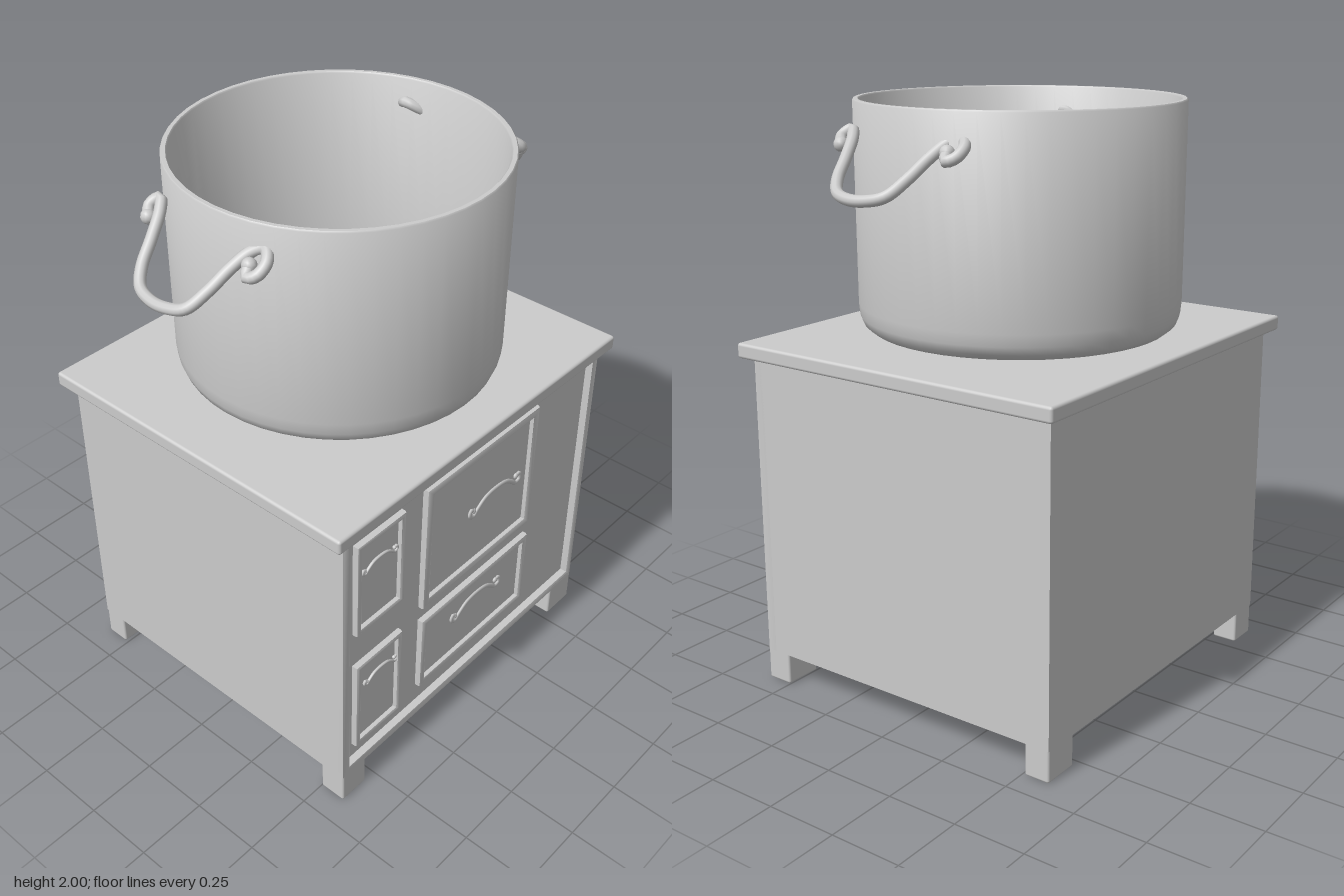
import * as THREE from 'three';
import { RoundedBoxGeometry } from 'three/addons/geometries/RoundedBoxGeometry.js';
import { toCreasedNormals } from 'three/addons/utils/BufferGeometryUtils.js';

const grey = new THREE.MeshStandardMaterial({ color: 0xcccccc });
const greyDouble = new THREE.MeshStandardMaterial({ color: 0xcccccc, side: THREE.DoubleSide });

function add(parent, name, geometry, x = 0, y = 0, z = 0, material = grey) {
  const mesh = new THREE.Mesh(geometry, material);
  mesh.name = name;
  mesh.position.set(x, y, z);
  parent.add(mesh);
  return mesh;
}

// Box given by its limits on each axis, with softened edges
function block(parent, name, [x0, x1], [y0, y1], [z0, z1], radius = 0) {
  const size = [x1 - x0, y1 - y0, z1 - z0];
  const geometry = radius ? new RoundedBoxGeometry(...size, 2, radius) : new THREE.BoxGeometry(...size);
  return add(parent, name, geometry, (x0 + x1) / 2, (y0 + y1) / 2, (z0 + z1) / 2);
}

function rectangle(path, x0, x1, y0, y1) {
  path.moveTo(x0, y0);
  path.lineTo(x1, y0);
  path.lineTo(x1, y1);
  path.lineTo(x0, y1);
  path.closePath();
  return path;
}

// Rectangular frame with a bevelled face, running from z0 to z1
function frame(parent, name, [x0, x1], [y0, y1], [l, r, b, t], z0, z1, bevel) {
  const shape = rectangle(new THREE.Shape(), x0 + bevel, x1 - bevel, y0 + bevel, y1 - bevel);
  shape.holes.push(rectangle(new THREE.Path(),
    x0 + l - bevel, x1 - r + bevel, y0 + b - bevel, y1 - t + bevel));
  const geometry = new THREE.ExtrudeGeometry(shape, {
    depth: z1 - z0 - bevel, bevelEnabled: true, bevelThickness: bevel, bevelSize: bevel, bevelSegments: 2,
  });
  return add(parent, name, toCreasedNormals(geometry, 0.6), 0, 0, z0);
}

// Rod along a smooth path, closed by a ball at each end
function rod(parent, name, points, radius, ball, segments) {
  const group = new THREE.Group();
  group.name = name;
  const curve = new THREE.CatmullRomCurve3(points);
  add(group, 'rod', new THREE.TubeGeometry(curve, segments, radius, 10));
  for (const end of [points[0], points[points.length - 1]]) {
    add(group, 'curlEnd', new THREE.SphereGeometry(ball, 12, 8), end.x, end.y, end.z);
  }
  parent.add(group);
  return group;
}

// Stove cabinet with a recessed front
function buildStove() {
  const stove = new THREE.Group();
  stove.name = 'stove';
  block(stove, 'cabinet', [-0.66, 0.665], [0.11, 1.18], [-0.6, 0.57]);
  frame(stove, 'frontRim', [-0.66, 0.665], [0.11, 1.18], [0.035, 0.03, 0.035, 0.045], 0.56, 0.597, 0.006);
  block(stove, 'topPlate', [-0.707, 0.711], [1.168, 1.22], [-0.635, 0.625], 0.01);

  for (const [x0, x1] of [[-0.66, -0.545], [0.53, 0.665]]) {
    for (const [z0, z1] of [[-0.6, -0.51], [0.5, 0.597]]) {
      block(stove, 'foot', [x0, x1], [0, 0.14], [z0, z1], 0.008);
    }
  }

  // Doors: x limits, y limits, border width, then handle centre, depth and scale
  const doors = [
    ['smallUpperDoor', [-0.587, -0.36], [0.722, 1.096], 0.022, [-0.473, 0.972, 0.582], 0.6],
    ['smallLowerDoor', [-0.587, -0.36], [0.205, 0.58], 0.022, [-0.458, 0.472, 0.582], 0.6],
    ['largeUpperDoor', [-0.256, 0.337], [0.598, 1.108], 0.033, [0.053, 0.93, 0.63], 1],
    ['largeLowerDoor', [-0.256, 0.337], [0.225, 0.538], 0.027, [0.053, 0.425, 0.584], 1],
  ];
  const arch = [
    [-0.118, -0.002], [-0.13, 0.008], [-0.137, -0.01], [-0.118, -0.024], [-0.096, -0.008], [-0.055, 0.017],
    [0, 0.024], [0.055, 0.016], [0.09, -0.006], [0.112, -0.024], [0.134, -0.016], [0.13, 0.008], [0.112, 0.005],
  ].map(([x, y]) => new THREE.Vector3(x, y, 0));

  for (const [name, xs, ys, border, centre, scale] of doors) {
    const door = new THREE.Group();
    door.name = name;
    frame(door, 'doorFrame', xs, ys, [border, border, border, border], 0.56, 0.592, 0.008);
    block(door, 'doorPanel', [xs[0] + 0.01, xs[1] - 0.01], [ys[0] + 0.01, ys[1] - 0.01], [0.55, 0.576]);
    const handle = rod(door, 'doorHandle', arch, 0.0085, 0.011, 48);
    handle.position.set(...centre);
    handle.scale.set(scale, scale, 0.6);
    stove.add(door);
  }
  return stove;
}

// Open pot with a rounded bottom and two curled side handles
function buildPot() {
  const pot = new THREE.Group();
  pot.name = 'pot';
  const profile = [
    [0, 1.225], [0.3, 1.225], [0.31, 1.232], [0.47, 1.234], [0.505, 1.242], [0.53, 1.262], [0.541, 1.29],
    [0.545, 1.33], [0.547, 1.995], [0.543, 2], [0.53, 2], [0.526, 1.995],
    [0.524, 1.34], [0.518, 1.3], [0.5, 1.27], [0.465, 1.256], [0, 1.255],
  ].map(([r, y]) => new THREE.Vector2(r, y));
  const shell = toCreasedNormals(new THREE.LatheGeometry(profile, 48), 0.7);
  add(pot, 'potShell', shell, 0.003, 0, -0.012, greyDouble);

  // Handle path as z and y; it slopes outward as it drops
  const path = [
    [0.278, 1.875], [0.298, 1.898], [0.277, 1.918], [0.25, 1.895], [0.22, 1.84], [0.194, 1.785], [0.156, 1.75],
    [0.098, 1.737], [0.034, 1.738], [-0.03, 1.753], [-0.066, 1.8], [-0.093, 1.857], [-0.125, 1.9],
    [-0.162, 1.916], [-0.192, 1.894], [-0.186, 1.864], [-0.158, 1.854], [-0.144, 1.876],
  ].map(([z, y]) => new THREE.Vector3(0.515 + (1.905 - y) * 1.22, y, z));
  for (const side of ['left', 'right']) {
    const handle = rod(pot, side + 'PotHandle', path, 0.019, 0.024, 80);
    if (side === 'right') handle.rotation.y = Math.PI;
  }
  return pot;
}

export function createModel() {
  const model = new THREE.Group();
  model.name = 'stoveWithPot';
  model.add(buildStove(), buildPot());
  return model;
}
